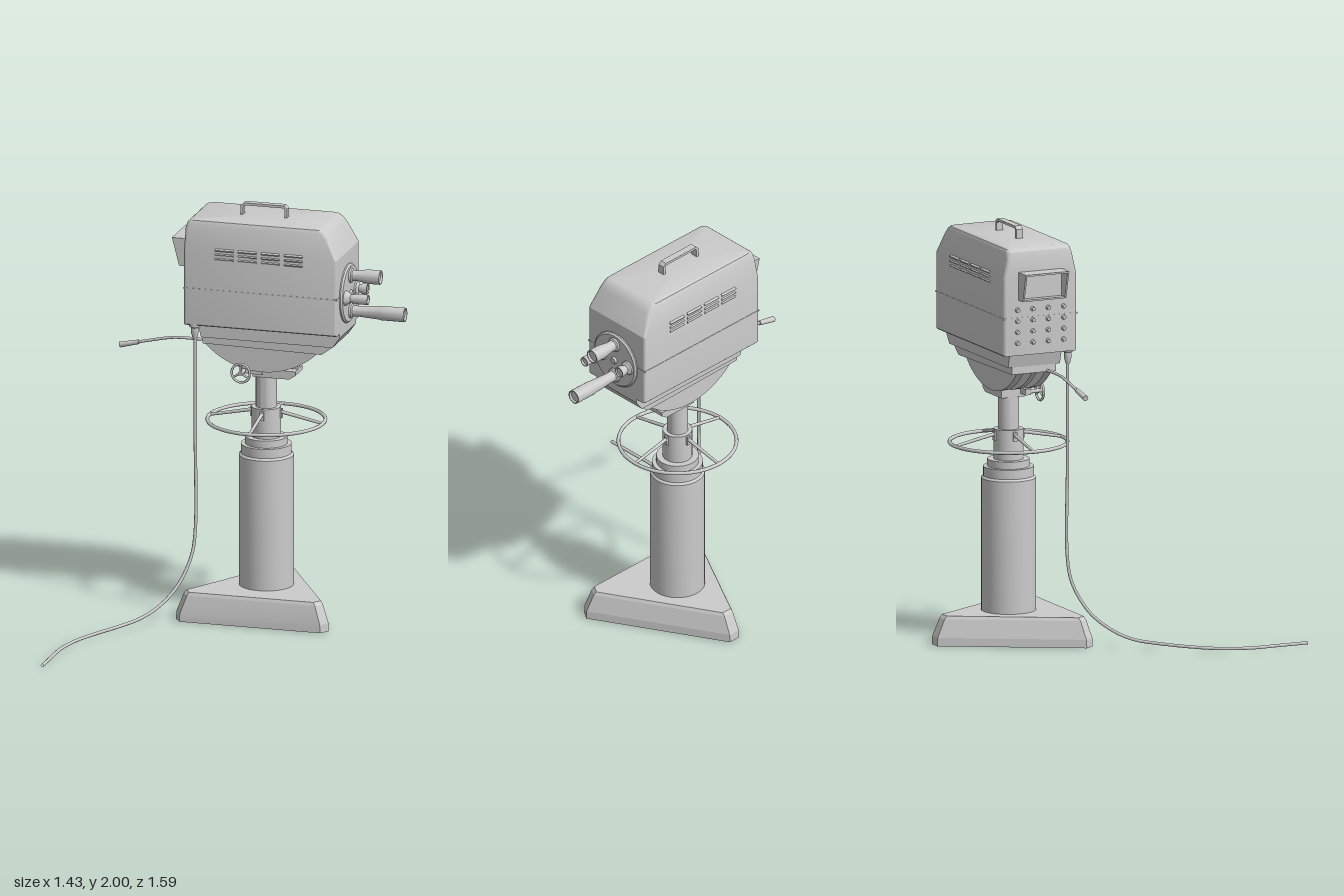
import * as THREE from 'three';
import { toCreasedNormals } from 'three/addons/utils/BufferGeometryUtils.js';

const CX = 0.03, CZ = -0.41; // column axis
const V = (x, y, z) => new THREE.Vector3(x, y, z);

export function createModel() {
  const model = new THREE.Group();
  const material = new THREE.MeshStandardMaterial({ color: 0xcccccc, side: THREE.DoubleSide });

  function add(name, geometry, x = 0, y = 0, z = 0, parent = model) {
    const mesh = new THREE.Mesh(geometry, material);
    mesh.name = name;
    mesh.position.set(x, y, z);
    parent.add(mesh);
    return mesh;
  }
  const box = (name, w, h, d, x, y, z, parent) => add(name, new THREE.BoxGeometry(w, h, d), x, y, z, parent);

  // Closed skin through rings of points, listed anticlockwise from above
  function loft(rings, crease = 0.4) {
    const pos = [], n = rings[0].length;
    const tri = (...p) => p.forEach(v => pos.push(v.x, v.y, v.z));
    const mid = r => r.reduce((s, p) => s.add(p), V(0, 0, 0)).divideScalar(n);
    const top = rings[rings.length - 1], cb = mid(rings[0]), ct = mid(top);
    for (let i = 0; i < n; i++) {
      const j = (i + 1) % n;
      for (let k = 0; k + 1 < rings.length; k++) {
        const a = rings[k], b = rings[k + 1];
        tri(a[i], a[j], b[j]);
        tri(a[i], b[j], b[i]);
      }
      tri(cb, rings[0][j], rings[0][i]);
      tri(ct, top[i], top[j]);
    }
    const g = new THREE.BufferGeometry();
    g.setAttribute('position', new THREE.Float32BufferAttribute(pos, 3));
    return toCreasedNormals(g, crease);
  }

  function roundedRing(y, x0, x1, half, r) {
    const ring = [];
    for (let c = 0; c < 4; c++) {
      const px = c === 0 || c === 3 ? x1 - r : x0 + r;
      const pz = c < 2 ? CZ - half + r : CZ + half - r;
      for (let s = 0; s <= 4; s++) {
        const a = (c + s / 4) * Math.PI / 2;
        ring.push(V(px + r * Math.cos(a), y, pz - r * Math.sin(a)));
      }
    }
    return ring;
  }

  // Front-view outline extruded between two depths
  function slab(points, depth) {
    const shape = new THREE.Shape(points.map(p => new THREE.Vector2(...p)));
    const g = new THREE.ExtrudeGeometry(shape, { depth, bevelEnabled: false });
    g.translate(0, 0, -depth / 2);
    return toCreasedNormals(g, 0.4);
  }
  const lathe = (points, seg = 32) =>
    toCreasedNormals(new THREE.LatheGeometry(points.map(p => new THREE.Vector2(...p)), seg), 0.5);
  const tube = (points, r, seg = 8) =>
    new THREE.TubeGeometry(new THREE.CatmullRomCurve3(points, false, 'centripetal'), seg, r, 8);
  function rod(name, a, b, r0, r1, parent) {
    const d = b.clone().sub(a), m = a.clone().add(b).multiplyScalar(0.5);
    const mesh = add(name, new THREE.CylinderGeometry(r1, r0, d.length(), 12), m.x, m.y, m.z, parent);
    mesh.quaternion.setFromUnitVectors(V(0, 1, 0), d.normalize());
  }

  // Triangular base with clipped corners and a sloping rim
  const baseRing = (y, s) => [[0.375, -0.18], [0.03, -0.795], [-0.03, -0.795], [-0.375, -0.18], [-0.345, -0.135], [0.345, -0.135]]
    .map(([x, z]) => V(CX + x * s, y, -0.36 + (z + 0.36) * s));
  add('base', loft([baseRing(0, 1), baseRing(0.04, 0.995), baseRing(0.125, 0.91), baseRing(0.14, 0.88)], 0.2));

  // Stepped telescoping column
  add('column', lathe([[0, 0.14], [0.13, 0.14], [0.13, 0.775], [0.12, 0.785], [0.12, 0.83], [0.1, 0.83],
    [0.1, 0.865], [0.07, 0.865], [0.07, 1.01], [0.05, 1.01], [0.05, 1.18], [0, 1.18]]), CX, 0, CZ);

  // Steering ring with four raised spokes
  const ring = new THREE.Group();
  ring.name = 'steeringRing';
  ring.position.set(CX, 0.945, CZ);
  model.add(ring);
  add('ringRim', new THREE.TorusGeometry(0.278, 0.009, 8, 64).rotateX(Math.PI / 2), 0, 0, 0, ring);
  for (let i = 0; i < 4; i++) {
    const a = i * Math.PI / 2, c = Math.cos(a), s = Math.sin(a);
    rod('ringSpoke', V(c * 0.06, 0.045, s * 0.06), V(c * 0.278, 0, s * 0.278), 0.009, 0.007, ring);
    const lug = box('spokeLug', 0.012, 0.045, 0.02, c * 0.072, 0.035, s * 0.072, ring);
    lug.rotation.y = -a;
  }

  // Tilt head: block, centre rib and two curved cradle plates
  add('headBlock', slab([[-0.02, 1.165], [0.16, 1.165], [0.19, 1.185], [0.19, 1.205], [-0.02, 1.205]], 0.12), 0, 0, CZ);
  add('headRib', slab([[-0.01, 1.2], [0.19, 1.2], [0.19, 1.225], [0.17, 1.24], [-0.01, 1.24]], 0.03), 0, 0, CZ);
  const arc = [];
  for (let i = 0; i <= 24; i++) {
    const a = -Math.PI / 2 + (i / 12 - 1) * 0.83;
    arc.push([0.035 + 0.387 * Math.cos(a), 1.587 + 0.387 * Math.sin(a)]);
  }
  for (const s of [-1, 1]) add('cradlePlate', slab(arc, 0.035), 0, 0, CZ + s * 0.073);
  add('cradleRib', slab(arc, 0.025), 0, 0, CZ);

  // Small hand wheel on the head
  const wheel = new THREE.Group();
  wheel.name = 'tiltWheel';
  wheel.position.set(-0.06, 1.195, -0.29);
  model.add(wheel);
  add('wheelRim', new THREE.TorusGeometry(0.045, 0.006, 8, 32), 0, 0, 0, wheel);
  for (let i = 0; i < 3; i++) {
    const a = Math.PI / 2 + i * Math.PI * 2 / 3;
    rod('wheelSpoke', V(0, 0, 0), V(0.045 * Math.cos(a), 0.045 * Math.sin(a), 0), 0.005, 0.005, wheel);
  }
  rod('wheelShaft', V(0, 0, 0.012), V(0, 0, -0.06), 0.01, 0.01, wheel);
  box('wheelBracket', 0.1, 0.03, 0.03, -0.02, 1.195, -0.355);

  // Stepped mounting tray under the housing
  add('upperTray', slab([[-0.27, 1.432], [-0.25, 1.36], [0.395, 1.36], [0.43, 1.41], [0.43, 1.432]], 0.27), 0, 0, CZ);
  add('lowerTray', slab([[-0.25, 1.36], [-0.25, 1.325], [0.335, 1.315], [0.395, 1.36]], 0.23), 0, 0, CZ);

  // Housing with tapered, rounded lid
  add('housing', loft([
    roundedRing(1.43, -0.32, 0.43, 0.185, 0.01), roundedRing(1.435, -0.32, 0.43, 0.19, 0.012),
    roundedRing(1.8, -0.32, 0.43, 0.19, 0.012), roundedRing(1.9, -0.32, 0.382, 0.17, 0.02),
    roundedRing(1.925, -0.313, 0.365, 0.165, 0.025), roundedRing(1.937, -0.3, 0.35, 0.16, 0.025),
    roundedRing(1.942, -0.285, 0.335, 0.15, 0.025)]));
  box('seam', 0.752, 0.006, 0.383, 0.055, 1.61, CZ);

  // Louvres: four sets of three on each side
  for (const s of [-1, 1]) for (let c = 0; c < 4; c++) for (let r = 0; r < 3; r++) {
    const louvre = box('louvre', 0.09, 0.007, 0.012, -0.12 + c * 0.113, 1.765 + r * 0.022, CZ + s * 0.19);
    louvre.rotation.x = s * 0.5;
  }

  // Carrying handle
  add('carryHandle', slab([[-0.092, 1.935], [-0.092, 1.985], [-0.077, 2], [0.122, 2], [0.137, 1.985], [0.137, 1.935],
    [0.125, 1.935], [0.125, 1.98], [0.118, 1.988], [-0.073, 1.988], [-0.08, 1.98], [-0.08, 1.935]], 0.034), 0, 0, CZ);

  // Open viewfinder hood over a recessed screen
  const hood = [[-0.315, 1.695], [-0.365, 1.695], [-0.4, 1.83], [-0.315, 1.83]];
  for (const s of [-1, 1]) add('hoodSide', slab(hood, 0.008), 0, 0, CZ + s * 0.109);
  box('hoodTop', 0.085, 0.008, 0.222, -0.3575, 1.826, CZ);
  box('hoodFloor', 0.05, 0.008, 0.222, -0.34, 1.699, CZ);
  box('screen', 0.012, 0.12, 0.21, -0.325, 1.762, CZ);

  // Rear control knobs
  for (let r = 0; r < 4; r++) for (let c = 0; c < 4; c++) {
    const y = 1.49 + r * 0.053, z = CZ - 0.12 + c * 0.08;
    rod('knob', V(-0.318, y, z), V(-0.334, y, z), 0.012, 0.009);
  }

  // Lens turret with four different lenses
  add('turret', lathe([[0, 0], [0.142, 0], [0.142, 0.008], [0.134, 0.016], [0, 0.016]], 48).rotateZ(-Math.PI / 2), 0.428, 1.595, CZ);
  const lenses = [
    [0.088, 0, [[0.04, 0], [0.034, 0.02], [0.026, 0.025], [0.025, 0.045], [0.034, 0.1], [0.034, 0.16], [0.029, 0.16], [0.026, 0.15], [0, 0.15]]],
    [-0.085, 0, [[0.04, 0], [0.034, 0.02], [0.026, 0.025], [0.025, 0.05], [0.032, 0.16], [0.034, 0.165], [0.034, 0.28], [0.029, 0.28], [0.026, 0.27], [0, 0.27]]],
    [0, 0.088, [[0.038, 0], [0.034, 0.02], [0.02, 0.04], [0.024, 0.075], [0.024, 0.125], [0.02, 0.125], [0.018, 0.115], [0, 0.115]]],
    [0, -0.09, [[0.038, 0], [0.034, 0.02], [0.02, 0.03], [0.026, 0.05], [0.026, 0.07], [0.022, 0.07], [0.02, 0.064], [0, 0.064]]]
  ];
  for (const [dy, dz, profile] of lenses)
    add('lens', lathe(profile, 24).rotateZ(-Math.PI / 2), 0.432, 1.595 + dy, CZ + dz);
  rod('turretHub', V(0.44, 1.595, CZ), V(0.455, 1.595, CZ), 0.02, 0.015);

  // Pan bar with grip
  add('panBar', tube([V(-0.2, 1.33, -0.34), V(-0.39, 1.33, -0.34), V(-0.43, 1.325, -0.34), V(-0.59, 1.29, -0.34)], 0.007, 24));
  rod('panGrip', V(-0.575, 1.293, -0.34), V(-0.668, 1.272, -0.34), 0.011, 0.014);

  // Cable and its plug
  add('plug', lathe([[0, 0.08], [0.027, 0.08], [0.027, 0.06], [0.018, 0.055], [0.018, 0.03], [0.01, 0], [0, 0]], 16), -0.272, 1.36, -0.245);
  add('cable', tube([V(-0.27, 1.38, -0.245), V(-0.27, 0.9, -0.245), V(-0.27, 0.42, -0.245), V(-0.283, 0.3, -0.225),
    V(-0.33, 0.17, -0.16), V(-0.39, 0.092, -0.08), V(-0.455, 0.048, 0.005), V(-0.53, 0.03, 0.115), V(-0.61, 0.02, 0.23),
    V(-0.675, 0.013, 0.35), V(-0.71, 0.009, 0.5), V(-0.712, 0.009, 0.65), V(-0.712, 0.009, 0.795)], 0.008, 90));

  return model;
}
